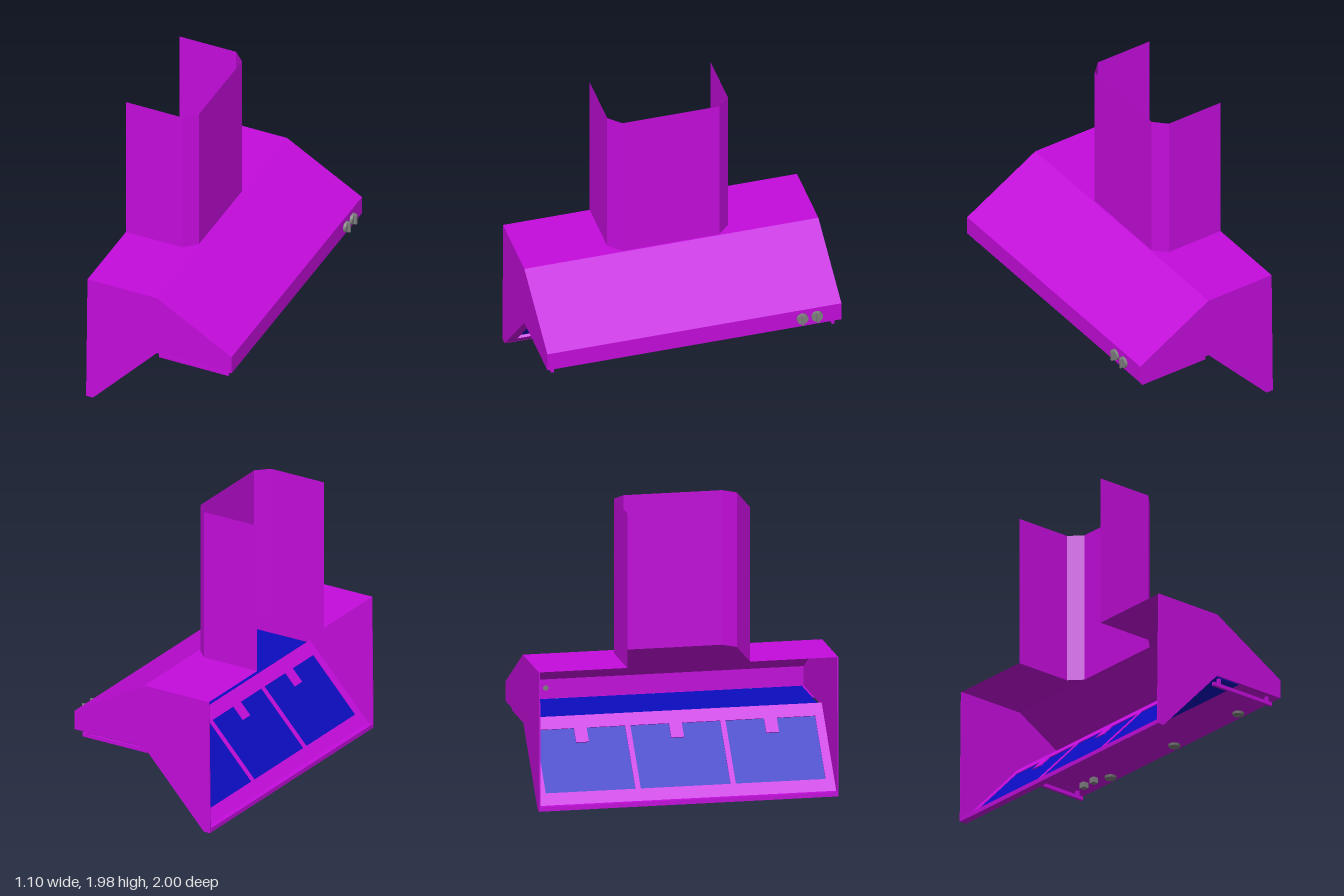
import * as THREE from 'three';

const purple = new THREE.MeshStandardMaterial({ color: 0xc40cdc, side: THREE.DoubleSide, flatShading: true });
const blue = new THREE.MeshStandardMaterial({ color: 0x0c0cc0, side: THREE.DoubleSide });
const grey = new THREE.MeshStandardMaterial({ color: 0x808080 });

export function createModel() {
  const root = new THREE.Group();

  const add = (name, geo, mat, parent = root) => {
    const mesh = new THREE.Mesh(geo, mat);
    mesh.name = name;
    parent.add(mesh);
    return mesh;
  };
  const box = (name, mat, size, pos, parent) => {
    const mesh = add(name, new THREE.BoxGeometry(...size), mat, parent);
    mesh.position.set(...pos);
    return mesh;
  };
  const shapeOf = (pts) => new THREE.Shape(pts.map(([a, b]) => new THREE.Vector2(a, b)));
  // Open sheet swept between two outlines of equal length
  const sheet = (name, a, b) => {
    const pos = [...a, ...b].flat();
    const index = [];
    for (let i = 0; i < a.length - 1; i++) {
      const j = i + a.length;
      index.push(i, j, i + 1, i + 1, j, j + 1);
    }
    const geo = new THREE.BufferGeometry();
    geo.setAttribute('position', new THREE.Float32BufferAttribute(pos, 3));
    geo.setIndex(index);
    const flat = geo.toNonIndexed();
    flat.computeVertexNormals();
    return add(name, flat, purple);
  };

  // End panels of the canopy
  const profile = [[-0.55, 0.005], [-0.5, 0.005], [-0.04, 0.5], [0.5, 0.5], [0.5, 0.63], [-0.04, 0.94], [-0.54, 0.94]];
  for (const side of [1, -1]) {
    const geo = new THREE.ExtrudeGeometry(shapeOf(profile), { depth: 0.008, bevelEnabled: false });
    add('endPanel', geo, purple).position.z = side > 0 ? 0.992 : -1;
  }

  // Sloping hood, front lip and light strip underneath
  const skin = [[-0.04, 0.94], [0.5, 0.63], [0.5, 0.5], [0.16, 0.5]];
  sheet('hoodSkin', skin.map(([x, y]) => [x, y, 1]), skin.map(([x, y]) => [x, y, -1]));

  // Top plate, notched where the chimney opens into it
  const duct = [[-0.54, 0.41], [-0.13, 0.41], [-0.05, 0.33], [-0.05, -0.33], [-0.13, -0.41], [-0.54, -0.41]];
  const top = shapeOf([[-0.54, 1], ...duct, [-0.54, -1], [-0.04, -1], [-0.04, 1]]);
  const topPlate = add('topPlate', new THREE.ShapeGeometry(top), purple);
  topPlate.rotation.x = -Math.PI / 2;
  topPlate.position.y = 0.94;

  // Chimney cover, open at the back
  sheet('chimney', duct.map(([x, z]) => [x, 0.94, z]), duct.map(([x, z]) => [x, 1.98, z]));

  // Sloping filter frame with three panels and pull tabs
  const filter = new THREE.Group();
  filter.name = 'filterAssembly';
  const u = new THREE.Vector3(0.46, 0.495, 0).normalize();
  const n = new THREE.Vector3(u.y, -u.x, 0);
  filter.quaternion.setFromRotationMatrix(new THREE.Matrix4().makeBasis(new THREE.Vector3(0, 0, -1), u, n));
  filter.position.set(-0.5, 0.005, 0);
  root.add(filter);
  const frame = shapeOf([[-0.992, 0], [0.992, 0], [0.992, 0.675], [-0.992, 0.675]]);
  for (const c of [-0.635, 0, 0.635]) {
    const w = 0.3;
    const hole = [[c - w, 0.105], [c - w, 0.58], [c + w, 0.58], [c + w, 0.105]];
    frame.holes.push(new THREE.Path(hole.map(([a, b]) => new THREE.Vector2(a, b))));
    box('filterPanel', blue, [0.62, 0.49, 0.006], [c, 0.342, -0.022], filter);
    box('filterTab', purple, [0.085, 0.115, 0.028], [c, 0.53, -0.018], filter);
  }
  const frameGeo = new THREE.ExtrudeGeometry(frame, { depth: 0.03, bevelEnabled: false });
  add('filterFrame', frameGeo, purple, filter).position.z = -0.03;

  // Lower back rail and the panel above the cooking area
  box('backRail', purple, [0.05, 0.03, 1.984], [-0.523, 0.02, 0]);
  box('undersidePanel', blue, [0.5, 0.006, 1.94], [0.2, 0.508, 0]);

  // Side runners hung on short posts, with diagonal braces
  for (const side of [1, -1]) {
    box('runner', purple, [0.5, 0.025, 0.02], [0.21, 0.457, side * 0.955]);
    for (const x of [0.01, 0.42]) box('runnerPost', purple, [0.02, 0.04, 0.02], [x, 0.487, side * 0.955]);
    sheet('runnerBrace',
      [[0.27, 0.5, side * 0.94], [0.38, 0.45, side * 0.86]],
      [[0.38, 0.5, side * 0.94], [0.39, 0.45, side * 0.86]]);
  }

  // Lamps under the front lip
  for (const z of [-0.645, 0, 0.645]) {
    add('lamp', new THREE.CylinderGeometry(0.042, 0.036, 0.02, 24), grey).position.set(0.44, 0.495, z);
  }

  // Control knobs and switch blocks
  for (const z of [-0.73, -0.83]) {
    const knob = new THREE.Group();
    knob.name = 'knob';
    knob.position.set(0.5, 0.572, z);
    root.add(knob);
    for (const [r, len, x] of [[0.018, 0.02, 0.008], [0.038, 0.018, 0.018]]) {
      const disc = add('knobDisc', new THREE.CylinderGeometry(r, r, len, 24), grey, knob);
      disc.rotation.z = Math.PI / 2;
      disc.position.x = x;
    }
    box('knobGrip', grey, [0.022, 0.072, 0.014], [0.034, 0, 0], knob);
    box('switchBlock', grey, [0.04, 0.04, 0.04], [0.37, 0.482, z]);
  }

  return root;
}
